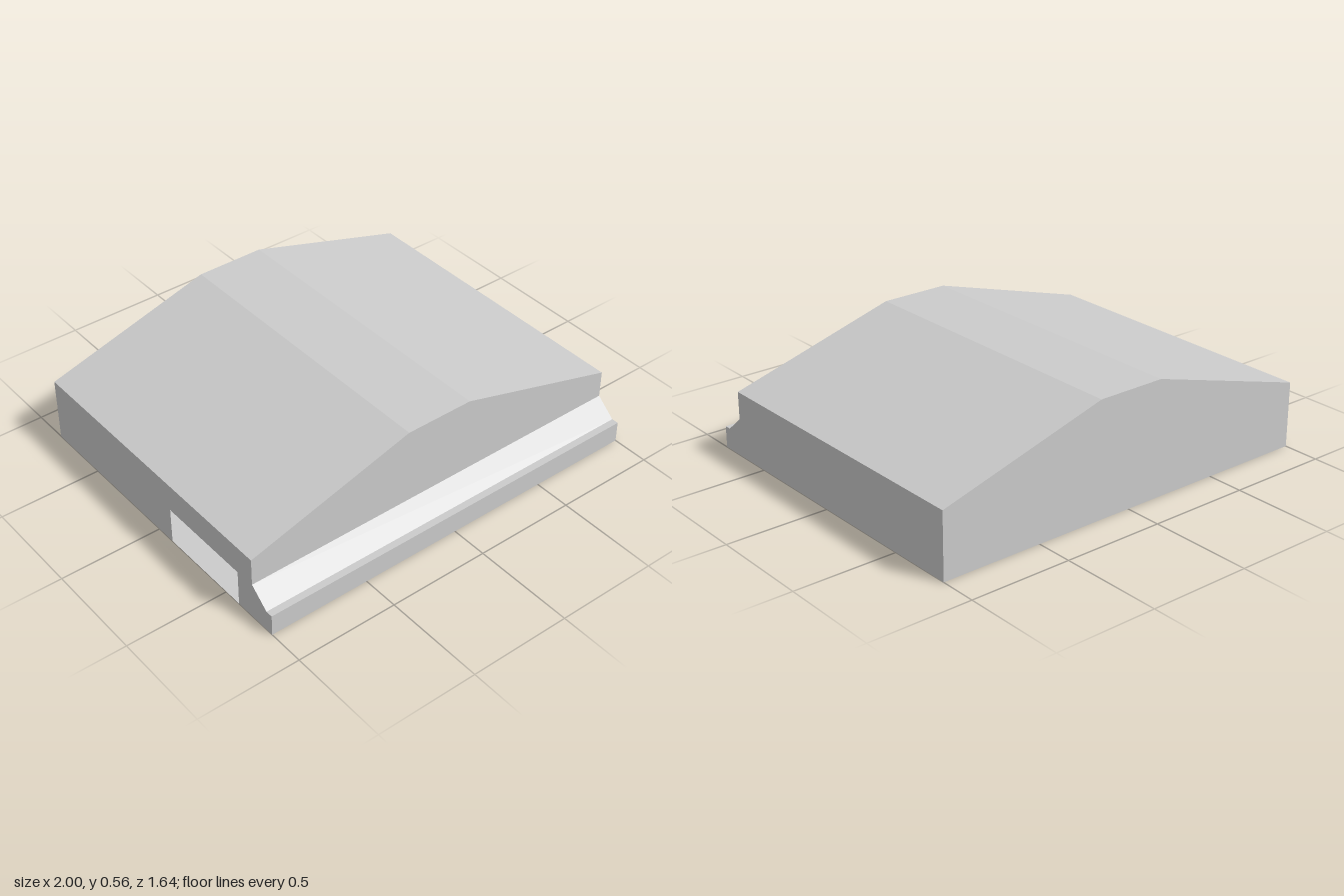
import * as THREE from 'three';

const material = new THREE.MeshStandardMaterial({ color: 0xcccccc, side: THREE.DoubleSide, flatShading: true });

// Half sizes and key heights
const W = 1, BACK = -0.82, FRONT = 0.82, WALL = 0.69, EAVE = 0.32, RIDGE = 0.56, FLAT = 0.17, STEP = 0.185;

// Flat panel from a counter-clockwise outline, facing +z
function panel(points) {
  return new THREE.ShapeGeometry(new THREE.Shape(points.map(([a, b]) => new THREE.Vector2(a, b))));
}

// Folded sheet: a 3D profile swept in a straight line
function sheet(profile, sweep) {
  const position = [];
  for (let i = 0; i < profile.length - 1; i++) {
    const a = new THREE.Vector3(...profile[i]);
    const b = new THREE.Vector3(...profile[i + 1]);
    const c = b.clone().add(sweep);
    const d = a.clone().add(sweep);
    for (const p of [a, b, c, a, c, d]) position.push(p.x, p.y, p.z);
  }
  const geometry = new THREE.BufferGeometry();
  geometry.setAttribute('position', new THREE.Float32BufferAttribute(position, 3));
  geometry.computeVertexNormals();
  return geometry;
}

export function createModel() {
  const group = new THREE.Group();
  const add = (name, geometry) => {
    const mesh = new THREE.Mesh(geometry, material);
    mesh.name = name;
    group.add(mesh);
  };

  // Gabled end walls; the front one stops above the step
  const gable = (bottom) => panel([[-W, bottom], [W, bottom], [W, EAVE], [FLAT, RIDGE], [-FLAT, RIDGE], [-W, EAVE]]);
  add('frontWall', gable(STEP).translate(0, 0, WALL));
  add('backWall', gable(0).rotateY(Math.PI).translate(0, 0, BACK));

  // Side walls, outlined in (z, y); the right one has an opening at the ground
  const stepProfile = [[FRONT, 0], [FRONT, 0.105], [0.785, 0.105], [WALL, STEP]];
  const opening = [[0.1, 0], [0.1, 0.18], [0.59, 0.18], [0.59, 0]];
  const side = (cut) => panel([[BACK, 0], ...cut, ...stepProfile, [WALL, EAVE], [BACK, EAVE]]);
  add('rightWall', side(opening).rotateY(-Math.PI / 2).translate(-W, 0, 0));
  const left = side([]).scale(-1, 1, 1);
  left.index.array.reverse();
  add('leftWall', left.rotateY(Math.PI / 2).translate(W, 0, 0));

  // Roof with two slopes and a flat ridge
  add('roof', sheet(
    [[-W, EAVE, WALL], [-FLAT, RIDGE, WALL], [FLAT, RIDGE, WALL], [W, EAVE, WALL]].reverse(),
    new THREE.Vector3(0, 0, BACK - WALL)).scale(1, 1, 1));
  flip(group.getObjectByName('roof').geometry);

  // Front step with a sloped upper face
  add('frontStep', sheet(stepProfile.map(([z, y]) => [W, y, z]), new THREE.Vector3(-2 * W, 0, 0)));

  // Floor
  add('floor', new THREE.PlaneGeometry(2 * W, FRONT - BACK).rotateX(Math.PI / 2));
  return group;
}

// Reverses the winding of an unindexed geometry
function flip(geometry) {
  const p = geometry.attributes.position;
  const a = new THREE.Vector3(), b = new THREE.Vector3();
  for (let i = 0; i < p.count; i += 3) {
    a.fromBufferAttribute(p, i + 1);
    b.fromBufferAttribute(p, i + 2);
    p.setXYZ(i + 1, b.x, b.y, b.z);
    p.setXYZ(i + 2, a.x, a.y, a.z);
  }
  geometry.computeVertexNormals();
}
